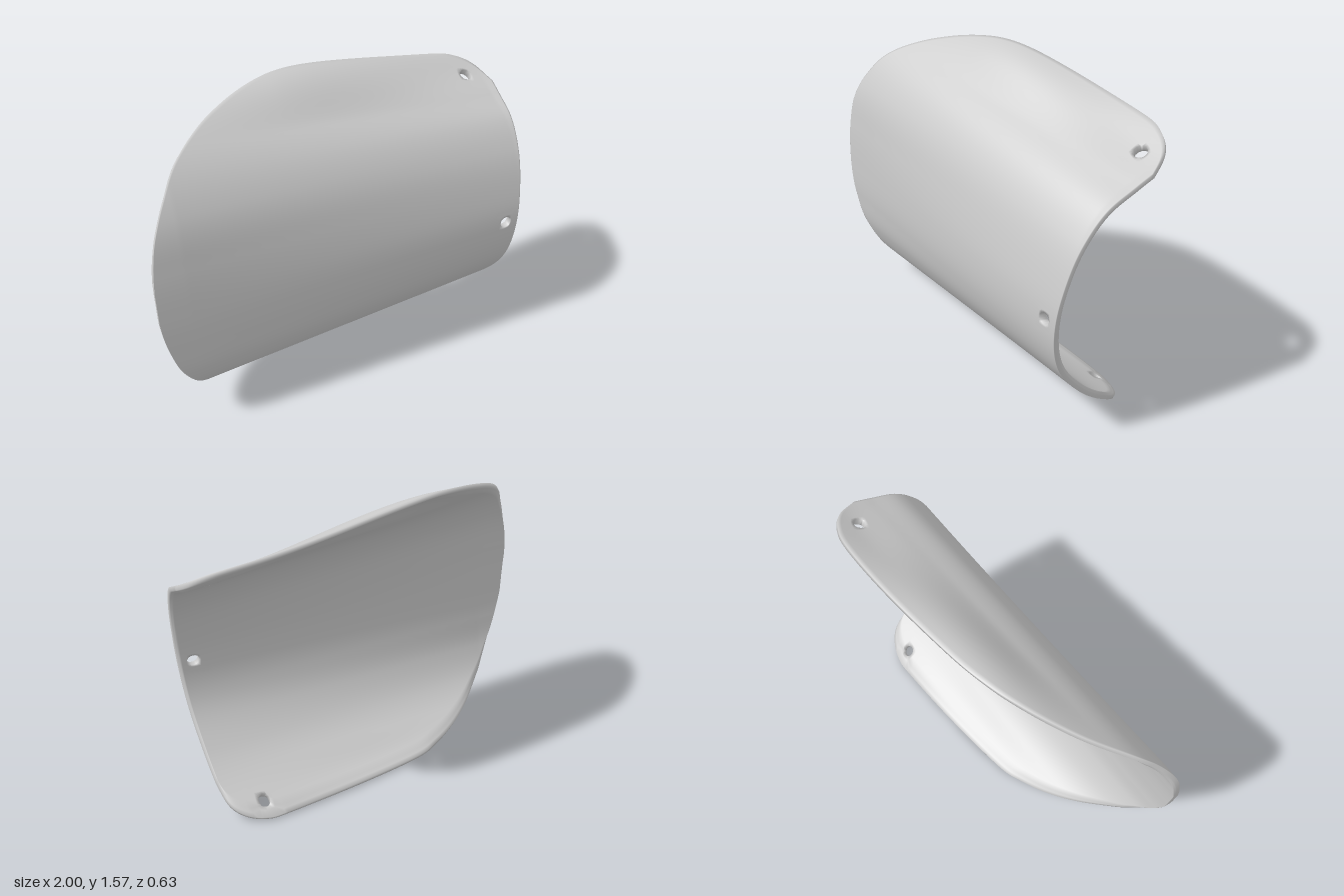
import * as THREE from 'three';

const RAD = Math.PI / 180, NU = 130, NV = 104;
const THICK = 0.034, AXIS_Y = 0.75, AXIS_Z = -0.3;
const { lerp, smoothstep, clamp } = THREE.MathUtils;

// smooth function through [position, value] pairs
function through(pairs) {
  const f = new THREE.CubicInterpolant(pairs.map(p => p[0]), pairs.map(p => p[1]), 1);
  return t => f.evaluate(t)[0];
}

// radius of the bend by angle (degrees up from the front): wide rounded end, narrower straight end
const wideRadius = through([[-92, 0.735], [-70, 0.768], [-50, 0.755], [-35, 0.705], [-20, 0.645],
  [0, 0.61], [20, 0.635], [40, 0.715], [60, 0.788], [75, 0.823], [95, 0.83]]);
const narrowRadius = through([[-92, 0.79], [-75, 0.69], [-50, 0.636], [-25, 0.625], [0, 0.6],
  [15, 0.592], [35, 0.605], [50, 0.615], [65, 0.605], [80, 0.632], [95, 0.73]]);

// outer surface, from x and angle; the middle narrows evenly, the rims later
function surface(x, deg) {
  const rim = smoothstep(Math.abs(deg), 62, 86);
  const w = lerp(clamp((x + 0.85) / 1.8, 0, 1), smoothstep(x, -0.25, 1), rim);
  const r = lerp(wideRadius(deg), narrowRadius(deg), w);
  return new THREE.Vector3(x, AXIS_Y + r * Math.sin(deg * RAD), AXIS_Z + r * Math.cos(deg * RAD));
}

function normalAt(x, deg) {
  const dx = surface(x + 0.01, deg).sub(surface(x - 0.01, deg));
  const da = surface(x, deg + 0.5).sub(surface(x, deg - 0.5));
  return dx.cross(da).normalize();
}

// outline edges as (x, angle), from the rounded end to the straight end
const K = 80; // degrees per unit, so both axes are alike in length
const edge = pts => new THREE.SplineCurve(pts.map(([x, a]) => new THREE.Vector2(x, a / K)));
const topEdge = edge([[-1, 12], [-0.99, 22], [-0.97, 31], [-0.94, 38], [-0.89, 46], [-0.8, 57], [-0.65, 68],
  [-0.5, 75.5], [-0.35, 81], [-0.2, 84.8], [0, 87.5], [0.4, 90], [0.73, 90.5], [0.86, 88.5], [0.95, 83], [1, 73]]);
const bottomEdge = edge([[-1, -2], [-0.99, -11], [-0.97, -20], [-0.93, -31], [-0.86, -42], [-0.79, -49.5],
  [-0.65, -60.5], [-0.5, -69], [-0.35, -75], [-0.2, -79], [0.2, -83], [0.6, -85], [0.72, -84.5], [0.82, -81],
  [0.88, -75], [0.905, -64]]);

// screw holes: x, angle, radius
const HOLES = [[0.87, -2, 0.032], [0.87, 79, 0.032], [0.71, -77.5, 0.03]];

function shellGeometry() {
  const id = (i, j) => i * (NV + 1) + j;
  const flat = [];
  for (let i = 0; i <= NU; i++) {
    const b = bottomEdge.getPointAt(i / NU), t = topEdge.getPointAt(i / NU);
    for (let j = 0; j <= NV; j++) flat.push(b.clone().lerp(t, j / NV));
  }

  // open each hole: a 4 x 4 block of cells is dropped and its border pulled to a circle
  const dropped = new Set();
  for (const [x, a, radius] of HOLES) {
    const target = new THREE.Vector2(x, a / K);
    let near = 0;
    flat.forEach((p, n) => { if (p.distanceTo(target) < flat[near].distanceTo(target)) near = n; });
    const ci = Math.floor(near / (NV + 1)), cj = near % (NV + 1), centre = flat[near].clone();
    for (let i = -4; i <= 4; i++) for (let j = -4; j <= 4; j++) {
      const ring = Math.max(Math.abs(i), Math.abs(j));
      const gi = ci + i, gj = cj + j;
      if (i >= -2 && i < 2 && j >= -2 && j < 2) dropped.add(id(gi, gj));
      if (ring < 2 || ring > 3 || gi <= 0 || gj <= 0 || gi >= NU || gj >= NV) continue;
      const p = flat[id(gi, gj)], off = p.clone().sub(centre);
      const scale = 0.65 * K * RAD; // flat angle unit to length
      off.y *= scale;
      const round = off.clone().setLength(radius).lerp(off, (ring - 2) / 2);
      p.set(centre.x + round.x, centre.y + round.y / scale);
    }
  }

  // outer face, then inner face, thinning towards the outline
  const outer = [], inner = [];
  flat.forEach((p, n) => {
    const i = Math.floor(n / (NV + 1)), j = n % (NV + 1);
    const ring = Math.min(i, j, NU - i, NV - j);
    const deg = p.y * K, s = surface(p.x, deg);
    const back = s.clone().addScaledVector(normalAt(p.x, deg), -THICK * Math.min(1, 0.55 + 0.15 * ring));
    outer.push(s.x, s.y, s.z);
    inner.push(back.x, back.y, back.z);
  });

  const index = [], edges = new Map(), B = flat.length;
  for (let i = 0; i < NU; i++) for (let j = 0; j < NV; j++) {
    if (dropped.has(id(i, j))) continue;
    const q = [id(i, j), id(i + 1, j), id(i + 1, j + 1), id(i, j + 1)];
    const [a, b, c, d] = q;
    index.push(a, b, c, a, c, d, B + a, B + c, B + b, B + a, B + d, B + c);
    q.forEach((v, k) => edges.set(v + '_' + q[(k + 1) % 4], [v, q[(k + 1) % 4]]));
  }
  // walls along the outline and round the holes
  for (const [a, b] of edges.values()) {
    if (!edges.has(b + '_' + a)) index.push(b, a, B + a, b, B + a, B + b);
  }

  const g = new THREE.BufferGeometry();
  g.setAttribute('position', new THREE.Float32BufferAttribute(outer.concat(inner), 3));
  g.setIndex(index);
  g.computeVertexNormals();
  return g;
}

export function createModel() {
  const group = new THREE.Group();
  group.name = 'curvedGuard';
  const shell = new THREE.Mesh(shellGeometry(), new THREE.MeshStandardMaterial({ color: 0xcccccc }));
  shell.name = 'shell';
  group.add(shell);
  return group;
}
